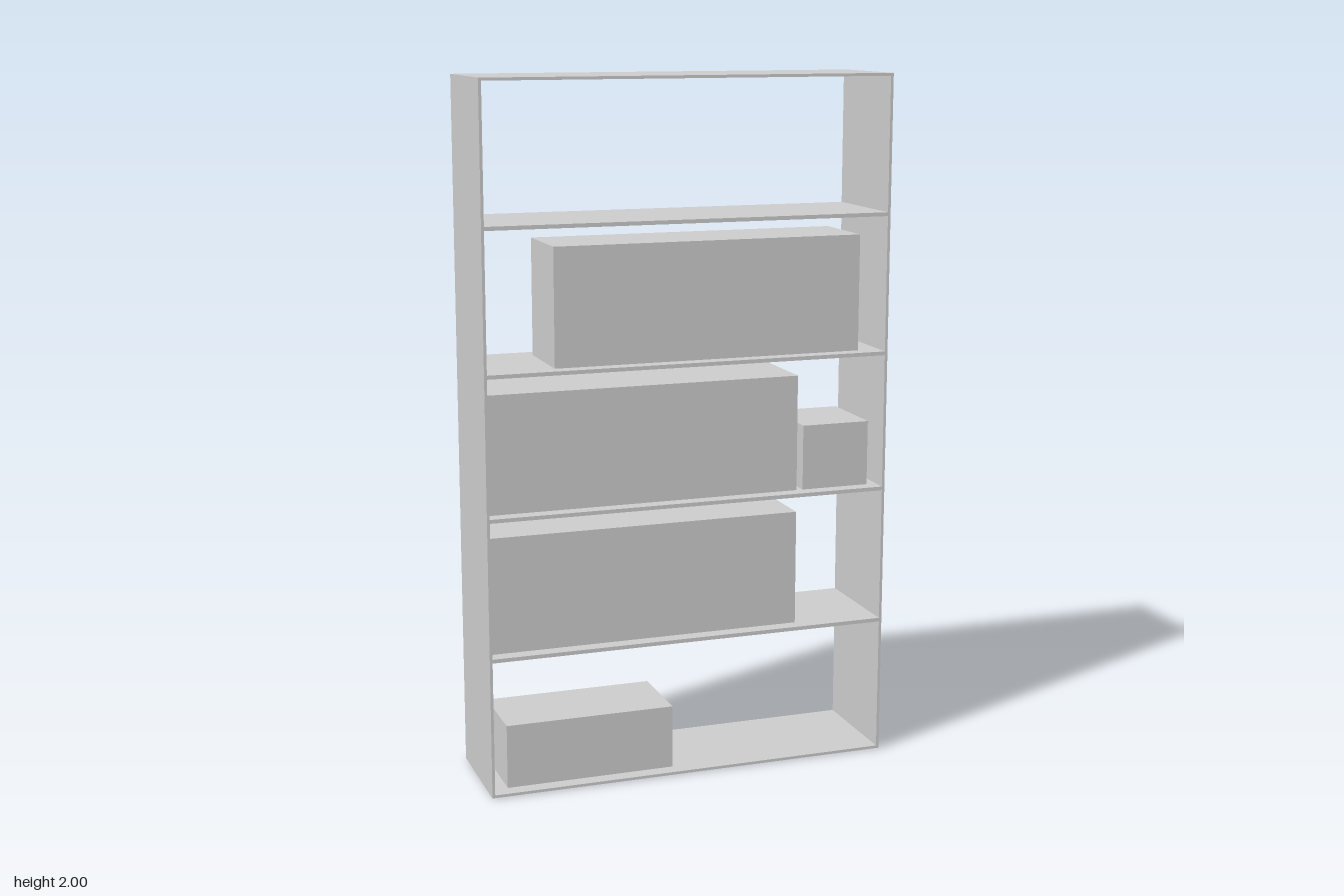
import * as THREE from 'three';

const material = new THREE.MeshStandardMaterial({ color: 0xcccccc, flatShading: true });

// Box given by its minimum and maximum corners
function block(name, [x0, y0, z0], [x1, y1, z1]) {
  const mesh = new THREE.Mesh(new THREE.BoxGeometry(x1 - x0, y1 - y0, z1 - z0), material);
  mesh.name = name;
  mesh.position.set((x0 + x1) / 2, (y0 + y1) / 2, (z0 + z1) / 2);
  return mesh;
}

export function createModel() {
  const model = new THREE.Group();
  model.name = 'bookcase';

  const W = 0.595, D = 0.162, H = 2, T = 0.008, base = 0.003;
  const inner = W - T;

  // Open frame: two sides, top and bottom boards
  for (const [name, s] of [['leftSide', 1], ['rightSide', -1]]) {
    const a = s * inner, b = s * W;
    model.add(block(name, [Math.min(a, b), base, -D], [Math.max(a, b), H, D]));
  }
  model.add(block('topBoard', [-inner, H - T, -D], [inner, H, D]));
  model.add(block('bottomBoard', [-inner, base, -D], [inner, base + T, D]));

  // Four evenly spaced shelves
  for (let i = 1; i <= 4; i++) {
    model.add(block('shelf' + i, [-inner, 0.4 * i, -D], [inner, 0.4 * i + 0.011, D]));
  }

  // Storage boxes: name, left x, right x, bottom y, top y
  const boxes = [
    ['bottomBox', -0.54, -0.045, 0, 0.196],
    ['lowerLongBox', -0.578, 0.335, 0.411, 0.746],
    ['middleLongBox', -0.578, 0.335, 0.811, 1.148],
    ['smallBox', 0.354, 0.557, 0.811, 1.0],
    ['upperLongBox', -0.386, 0.521, 1.211, 1.546],
  ];
  for (const [name, x0, x1, y0, y1] of boxes) {
    model.add(block(name, [x0, y0, -0.112], [x1, y1, 0.12]));
  }
  return model;
}
